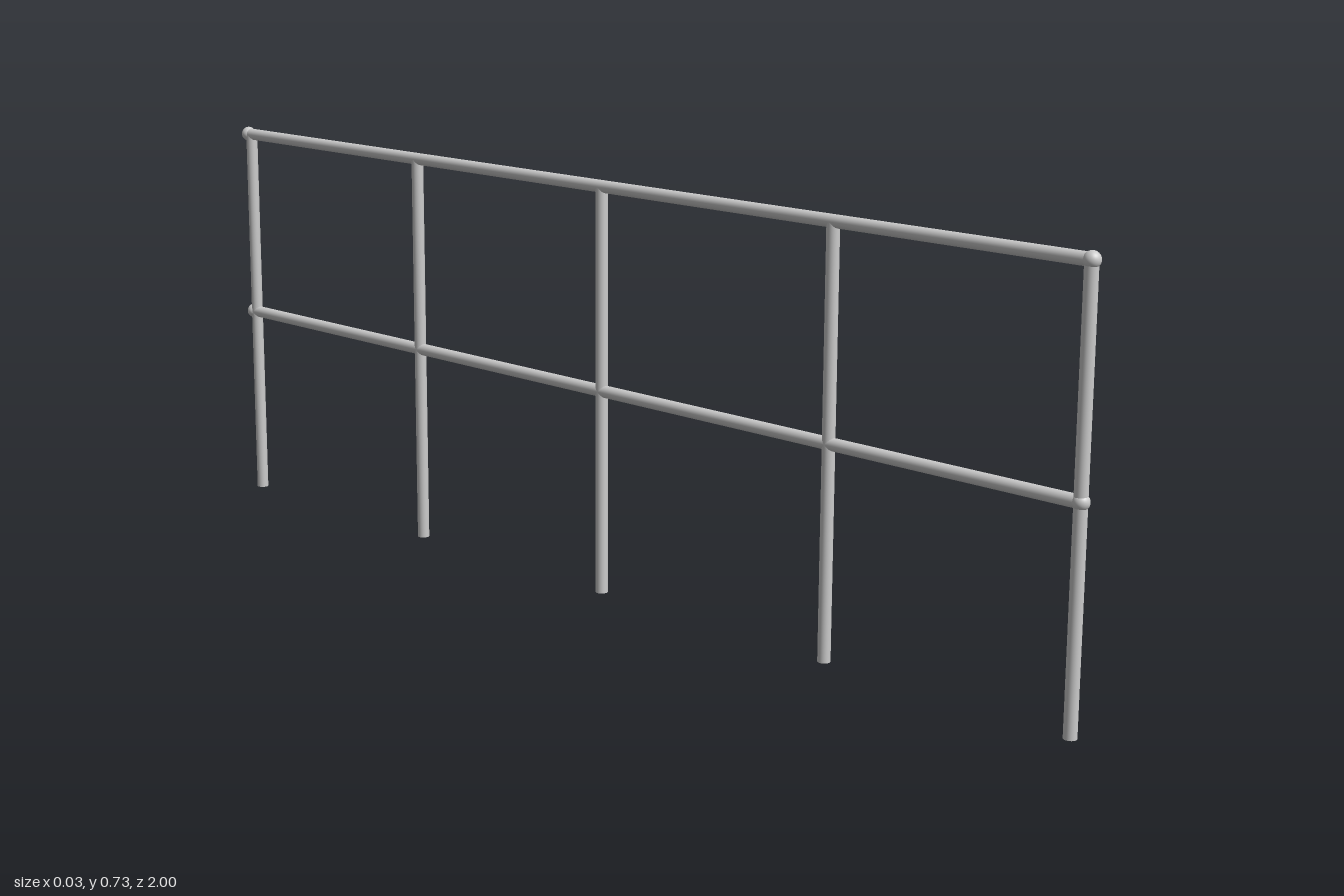
import * as THREE from 'three';

const POST_Z = [0.986, 0.512, 0.003, -0.476, -0.977];
const RAIL_Y = { topRail: 0.713, midRail: 0.36 };
const END_Z = 0.9865;
const TUBE_R = 0.0107;
const BALL_R = 0.0135;

export function createModel() {
  const group = new THREE.Group();
  group.name = 'railing';
  const material = new THREE.MeshStandardMaterial({ color: 0xcccccc });

  const add = (name, geometry, y, z) => {
    const mesh = new THREE.Mesh(geometry, material);
    mesh.name = name;
    mesh.position.set(0, y, z);
    group.add(mesh);
    return mesh;
  };

  // Upright posts, reaching up into the top rail
  const postGeo = new THREE.CylinderGeometry(TUBE_R, TUBE_R, RAIL_Y.topRail, 32);
  POST_Z.forEach((z, i) => add(`post${i + 1}`, postGeo, RAIL_Y.topRail / 2, z));

  // Horizontal rails with a ball on each end
  const railGeo = new THREE.CylinderGeometry(TUBE_R, TUBE_R, 2 * END_Z, 32).rotateX(Math.PI / 2);
  const ballGeo = new THREE.SphereGeometry(BALL_R, 32, 20);
  for (const [name, y] of Object.entries(RAIL_Y)) {
    add(name, railGeo, y, 0);
    add(`${name}FrontBall`, ballGeo, y, END_Z);
    add(`${name}BackBall`, ballGeo, y, -END_Z);
  }
  return group;
}
